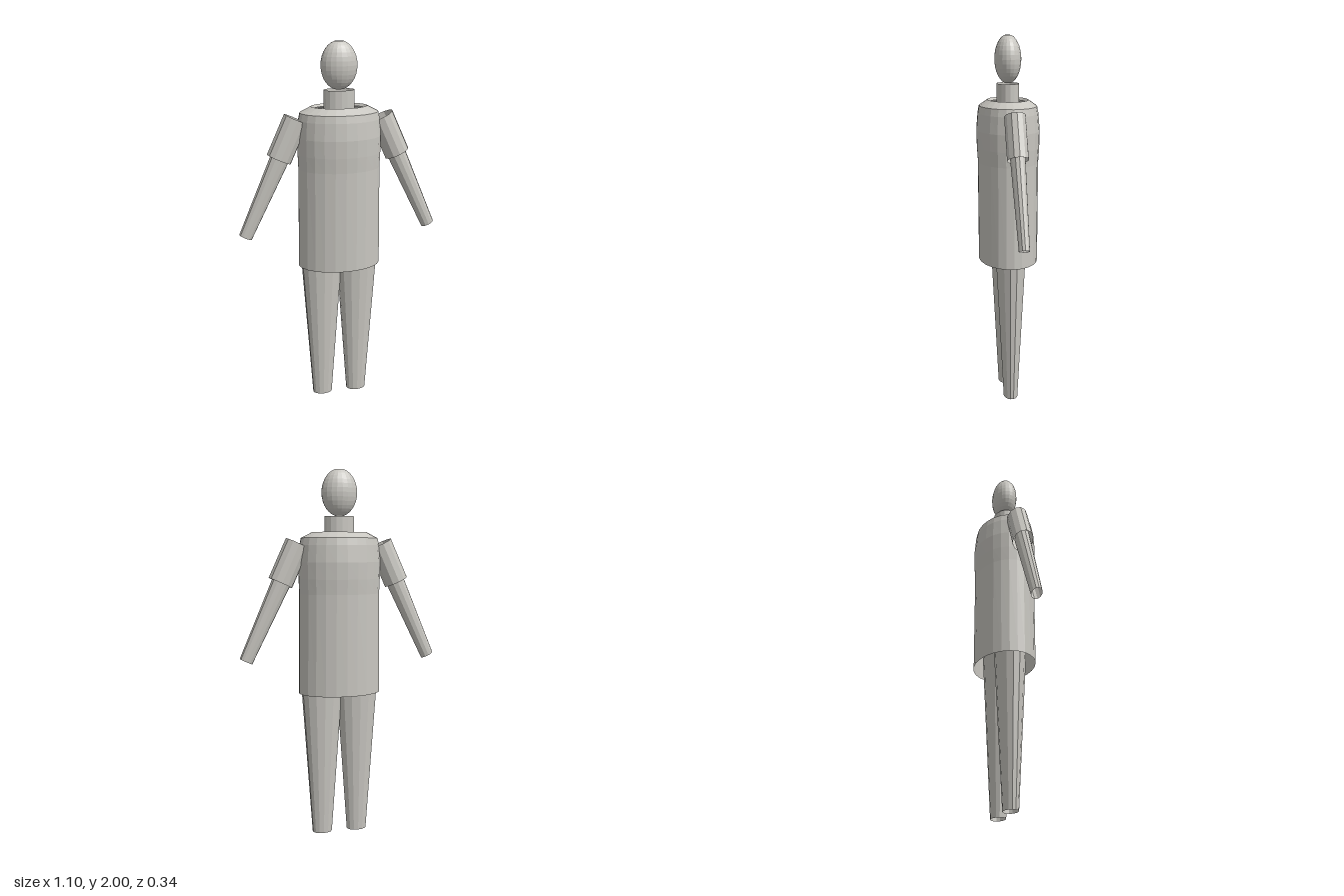
import * as THREE from 'three';

const clay = new THREE.MeshStandardMaterial({ color: 0xc8c6c0, flatShading: true, side: THREE.DoubleSide });
clay.name = 'warm grey clay';

function add(group, name, geometry) {
  const mesh = new THREE.Mesh(geometry, clay);
  mesh.name = name;
  group.add(mesh);
  return mesh;
}

// Oval shell from rings of [y, half width, half depth]
function ovalShell(rings, segments) {
  const geo = new THREE.LatheGeometry(rings.map(([y, rx]) => new THREE.Vector2(rx, y)), segments);
  const pos = geo.attributes.position;
  for (let i = 0; i < pos.count; i++) {
    const [, rx, rz] = rings[i % rings.length];
    pos.setZ(i, pos.getZ(i) * rz / rx);
  }
  return geo;
}

// Open, tapered limb between two points in the xy plane, flattened in depth
function limb(top, bottom, rTop, rBottom, flatten, segments) {
  const dx = top[0] - bottom[0], dy = top[1] - bottom[1];
  const geo = new THREE.CylinderGeometry(rTop, rBottom, Math.hypot(dx, dy), segments, 1, true);
  geo.scale(1, 1, flatten);
  geo.rotateZ(-Math.atan2(dx, dy));
  geo.translate((top[0] + bottom[0]) / 2, (top[1] + bottom[1]) / 2, 0);
  return geo;
}

export function createModel() {
  const model = new THREE.Group();
  model.name = 'figure';

  // Long coat-like torso with sloped shoulders and an open collar
  add(model, 'torso', ovalShell([
    [0.795, 0.227, 0.16], [1.34, 0.222, 0.161], [1.42, 0.225, 0.166], [1.51, 0.226, 0.168],
    [1.6, 0.219, 0.16], [1.638, 0.211, 0.153], [1.669, 0.15, 0.108], [1.655, 0.137, 0.098],
  ], 24));

  // Neck
  add(model, 'neck', ovalShell([[1.64, 0.083, 0.06], [1.753, 0.083, 0.06]], 16));

  // Egg-shaped head, open at the crown
  const head = [];
  for (let i = 0; i <= 14; i++) {
    const a = THREE.MathUtils.lerp(0.25, Math.PI - 0.25, i / 14);
    const r = Math.sin(a);
    head.push([1.878 - 0.126 * Math.cos(a), 0.098 * r, 0.07 * r]);
  }
  add(model, 'head', ovalShell(head, 20));

  // Arms and legs, mirrored left and right
  for (const [side, s] of [['left', 1], ['right', -1]]) {
    add(model, side + 'Sleeve', limb([s * 0.231, 1.608], [s * 0.326, 1.4], 0.069, 0.069, 0.8, 12));
    add(model, side + 'Forearm', limb([s * 0.309, 1.43], [s * 0.517, 0.984], 0.053, 0.037, 0.75, 12));
    add(model, side + 'Leg', limb([s * 0.1, 0.9], [s * 0.1, 0], 0.119, 0.055, 0.71, 14));
  }
  return model;
}
